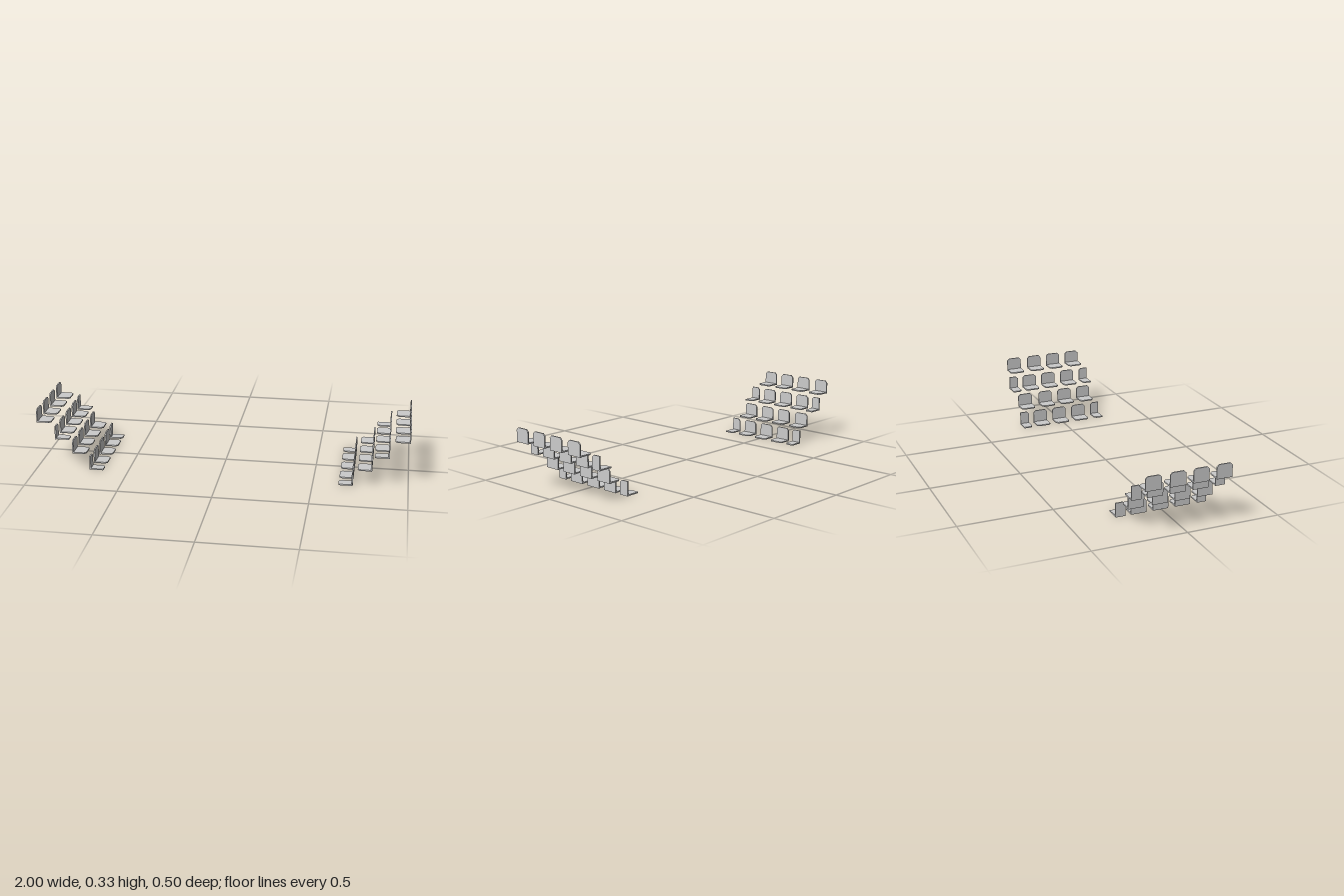
import * as THREE from 'three';

const material = new THREE.MeshStandardMaterial({ color: 0xcccccc, flatShading: true });
const THICK = 0.007;

// Flat board from a to b, with optional chamfers on its two far corners
function board(a, b, from, to, cutA, cutB) {
  const c = 0.012;
  const pts = [[a, from], [b, from]];
  if (cutB) pts.push([b, to - c], [b - c, to]); else pts.push([b, to]);
  if (cutA) pts.push([a + c, to], [a, to - c]); else pts.push([a, to]);
  const shape = new THREE.Shape(pts.map(p => new THREE.Vector2(...p)));
  return new THREE.ExtrudeGeometry(shape, { depth: THICK, bevelEnabled: false });
}

// One chair facing local +z: upright back and horizontal seat pan
function chair([a, b, cutA = true, cutB = true], height, depth) {
  const group = new THREE.Group();
  group.name = 'chair';
  const back = new THREE.Mesh(board(a, b, 0, height, cutA, cutB), material);
  back.name = 'backrest';
  const pan = board(a, b, THICK, depth, cutA, cutB);
  pan.rotateX(Math.PI / 2).translate(0, THICK + 0.001, 0);
  const seat = new THREE.Mesh(pan, material);
  seat.name = 'seatPan';
  group.add(back, seat);
  return group;
}

// Chair spans along z; the end chairs of the wide rows are cut off square outside
const wideRow = [
  [0.2, 0.252, true, false], [0.077, 0.161], [-0.046, 0.038],
  [-0.167, -0.083], [-0.25, -0.198, false, true],
];
const narrowRow = [[0.149, 0.233], [0.025, 0.109], [-0.098, -0.014], [-0.227, -0.142]];

const rows = [
  { x: 0.711, y: 0, height: 0.077, depth: 0.075, spans: wideRow },
  { x: 0.809, y: 0.081, height: 0.075, depth: 0.076, spans: narrowRow },
  { x: 0.896, y: 0.167, height: 0.075, depth: 0.077, spans: wideRow },
  { x: 1.0, y: 0.251, height: 0.075, depth: 0.079, spans: narrowRow },
];

export function createModel() {
  const model = new THREE.Group();
  model.name = 'seatingStands';
  // Two facing banks of rising rows
  for (const side of [1, -1]) {
    const bank = new THREE.Group();
    bank.name = side > 0 ? 'leftBank' : 'rightBank';
    for (const { x, y, height, depth, spans } of rows) {
      const row = new THREE.Group();
      row.name = 'seatRow';
      row.position.set(side * x, y, 0);
      row.rotation.y = -side * Math.PI / 2;
      for (const [a, b, cutA = true, cutB = true] of spans) {
        row.add(chair(side > 0 ? [a, b, cutA, cutB] : [-b, -a, cutB, cutA], height, depth));
      }
      bank.add(row);
    }
    model.add(bank);
  }
  return model;
}
